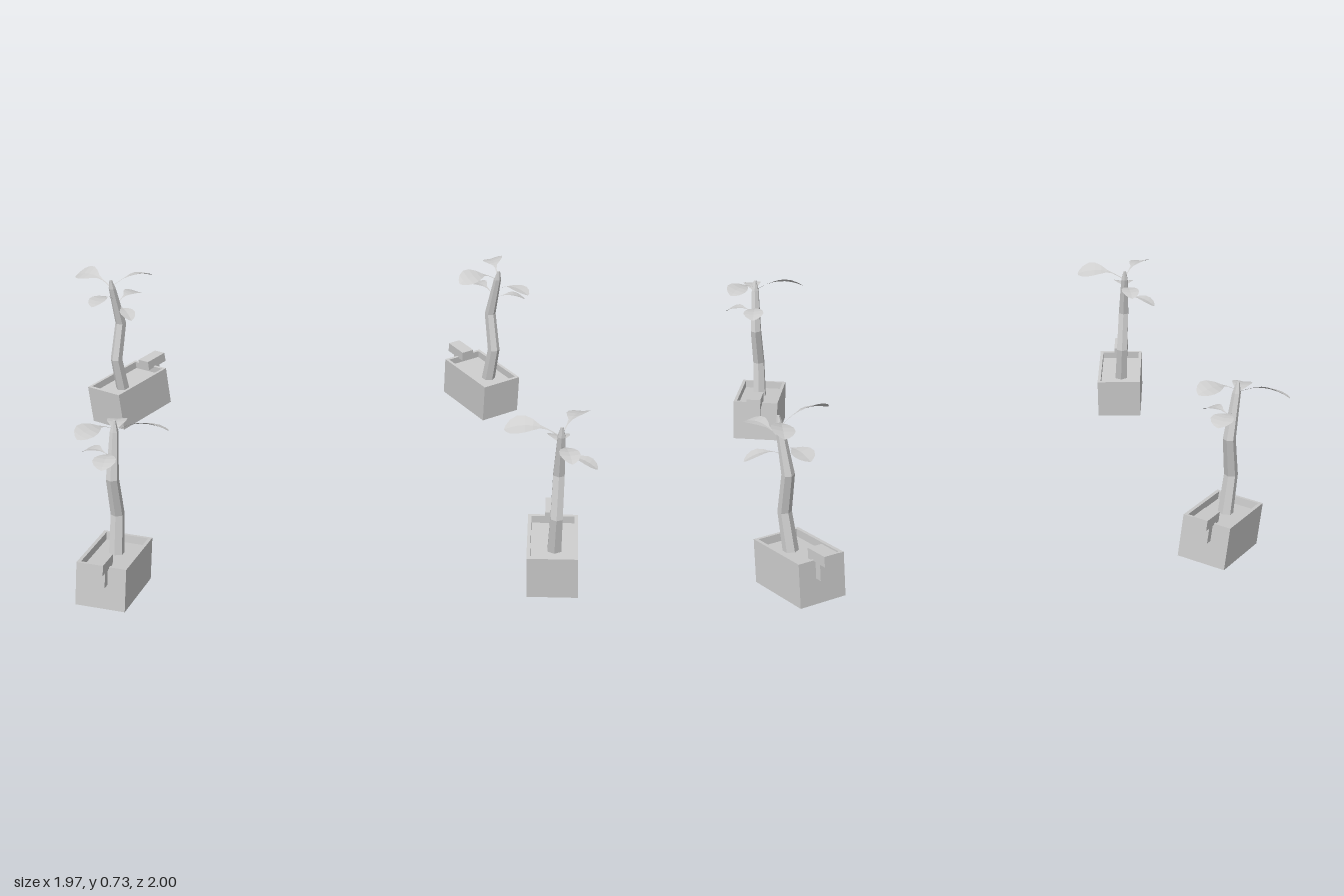
import * as THREE from 'three';

const material = new THREE.MeshStandardMaterial({ color: 0xcccccc, flatShading: true });
const leafMaterial = new THREE.MeshStandardMaterial({ color: 0xcccccc, flatShading: true, side: THREE.DoubleSide });

const WIDTH = 0.188, LENGTH = 0.308, HEIGHT = 0.168, WALL = 0.013;

// crooked trunk: z offset, height, radius
const TRUNK = [[-0.05, 0.11, 0.03], [-0.085, 0.28, 0.026], [-0.048, 0.44, 0.024], [-0.09, 0.61, 0.016], [-0.097, 0.65, 0.006]];

// leaves: tip x, tip z, height at stem, at the arch, at the tip, blade width, sideways roll
const LEAVES = [
  [0.206, -0.095, 0.61, 0.65, 0.63, 0.08, -0.018],
  [-0.04, -0.26, 0.555, 0.598, 0.583, 0.075, 0],
  [-0.135, -0.12, 0.51, 0.53, 0.502, 0.065, 0],
  [-0.08, 0.075, 0.62, 0.657, 0.643, 0.085, -0.01],
  [0.01, 0.09, 0.53, 0.557, 0.538, 0.085, 0],
];

// blade half-width along its length: position, share of full width
const BLADE = [[0, 0.06], [0.25, 0.06], [0.38, 0.2], [0.5, 0.6], [0.64, 0.93], [0.78, 1], [0.9, 0.75], [0.97, 0.38], [1, 0.04]];

function add(parent, name, geometry, x = 0, y = 0, z = 0, mat = material) {
  const mesh = new THREE.Mesh(geometry, mat);
  mesh.name = name;
  mesh.position.set(x, y, z);
  parent.add(mesh);
}

function rectangle(target, w, l) {
  target.moveTo(-w / 2, -l / 2);
  target.lineTo(w / 2, -l / 2);
  target.lineTo(w / 2, l / 2);
  target.lineTo(-w / 2, l / 2);
  target.closePath();
  return target;
}

// open trough with soil and a spout clamped over one end
function makePlanter() {
  const planter = new THREE.Group();
  planter.name = 'planter';
  const outline = rectangle(new THREE.Shape(), WIDTH, LENGTH);
  outline.holes.push(rectangle(new THREE.Path(), WIDTH - 2 * WALL, LENGTH - 2 * WALL));
  const walls = new THREE.ExtrudeGeometry(outline, { depth: HEIGHT, bevelEnabled: false });
  walls.rotateX(-Math.PI / 2);
  add(planter, 'planterWalls', walls);
  const soilHeight = HEIGHT - 0.03;
  add(planter, 'soil', new THREE.BoxGeometry(WIDTH - 2 * WALL, soilHeight, LENGTH - 2 * WALL), 0, soilHeight / 2);
  add(planter, 'spoutBar', new THREE.BoxGeometry(0.058, 0.04, 0.11), 0, HEIGHT + 0.014, LENGTH / 2 + 0.013);
  add(planter, 'spoutStem', new THREE.BoxGeometry(0.05, 0.07, 0.03), 0, HEIGHT - 0.036, LENGTH / 2 + 0.015);
  return planter;
}

// six-sided column whose rings follow the trunk points
function makeTrunkGeometry() {
  const rings = TRUNK.length - 1;
  const geometry = new THREE.CylinderGeometry(1, 1, rings, 6, rings);
  const p = geometry.attributes.position;
  for (let i = 0; i < p.count; i++) {
    const [z, y, r] = TRUNK[Math.round(p.getY(i) + rings / 2)];
    p.setXYZ(i, p.getX(i) * r, y, z + p.getZ(i) * r);
  }
  geometry.computeVertexNormals();
  return geometry;
}

function trunkZ(h) {
  const i = TRUNK.findIndex((point) => point[1] >= h);
  const [a, b] = [TRUNK[i - 1], TRUNK[i]];
  return THREE.MathUtils.mapLinear(h, a[1], b[1], a[0], b[0]);
}

// arched stalk widening into a rounded blade, creased along the midrib
function makeLeafGeometry([x, z, h0, peak, h1, width, roll]) {
  const start = new THREE.Vector3(0, h0, trunkZ(h0));
  const tip = new THREE.Vector3(x, h1, z);
  const control = start.clone().lerp(tip, 0.5).setY(2 * peak - (h0 + h1) / 2);
  const curve = new THREE.QuadraticBezierCurve3(start, control, tip);
  const side = new THREE.Vector3(tip.z - start.z, 0, -tip.x).normalize();
  const points = [], index = [];
  BLADE.forEach(([t, share], row) => {
    const centre = curve.getPoint(t);
    for (const s of [-1, 0, 1]) {
      const v = centre.clone().addScaledVector(side, s * share * width / 2);
      v.y += share * (Math.abs(s) * 0.005 + s * roll);
      points.push(v);
    }
    if (row === 0) return;
    for (const k of [0, 1]) {
      const a = (row - 1) * 3 + k, b = a + 3;
      index.push(a, a + 1, b, a + 1, b + 1, b);
    }
  });
  const geometry = new THREE.BufferGeometry().setFromPoints(points);
  geometry.setIndex(index);
  geometry.computeVertexNormals();
  return geometry;
}

export function createModel() {
  const model = new THREE.Group();
  model.name = 'pottedPlants';
  const trunkGeometry = makeTrunkGeometry();
  const leafGeometries = LEAVES.map(makeLeafGeometry);

  // four plants: name, x, y, z, heading of the spout in degrees
  const places = [
    ['frontLeftPlant', 0.843, 0.019, 0.737, 168.5],
    ['frontRightPlant', -0.803, 0.019, 0.745, -17],
    ['backRightPlant', -0.762, 0.063, -0.805, 138],
    ['backLeftPlant', 0.813, 0.063, -0.808, 206.6],
  ];
  for (const [name, x, y, z, heading] of places) {
    const unit = new THREE.Group();
    unit.name = name;
    unit.position.set(x, y, z);
    unit.rotation.y = THREE.MathUtils.degToRad(heading);
    // the trough leans a little, the plant stays upright
    const planter = makePlanter();
    planter.rotation.set(-0.09, 0, -0.05);
    unit.add(planter);
    add(unit, 'trunk', trunkGeometry);
    leafGeometries.forEach((g) => add(unit, 'leaf', g, 0, 0, 0, leafMaterial));
    model.add(unit);
  }
  return model;
}
